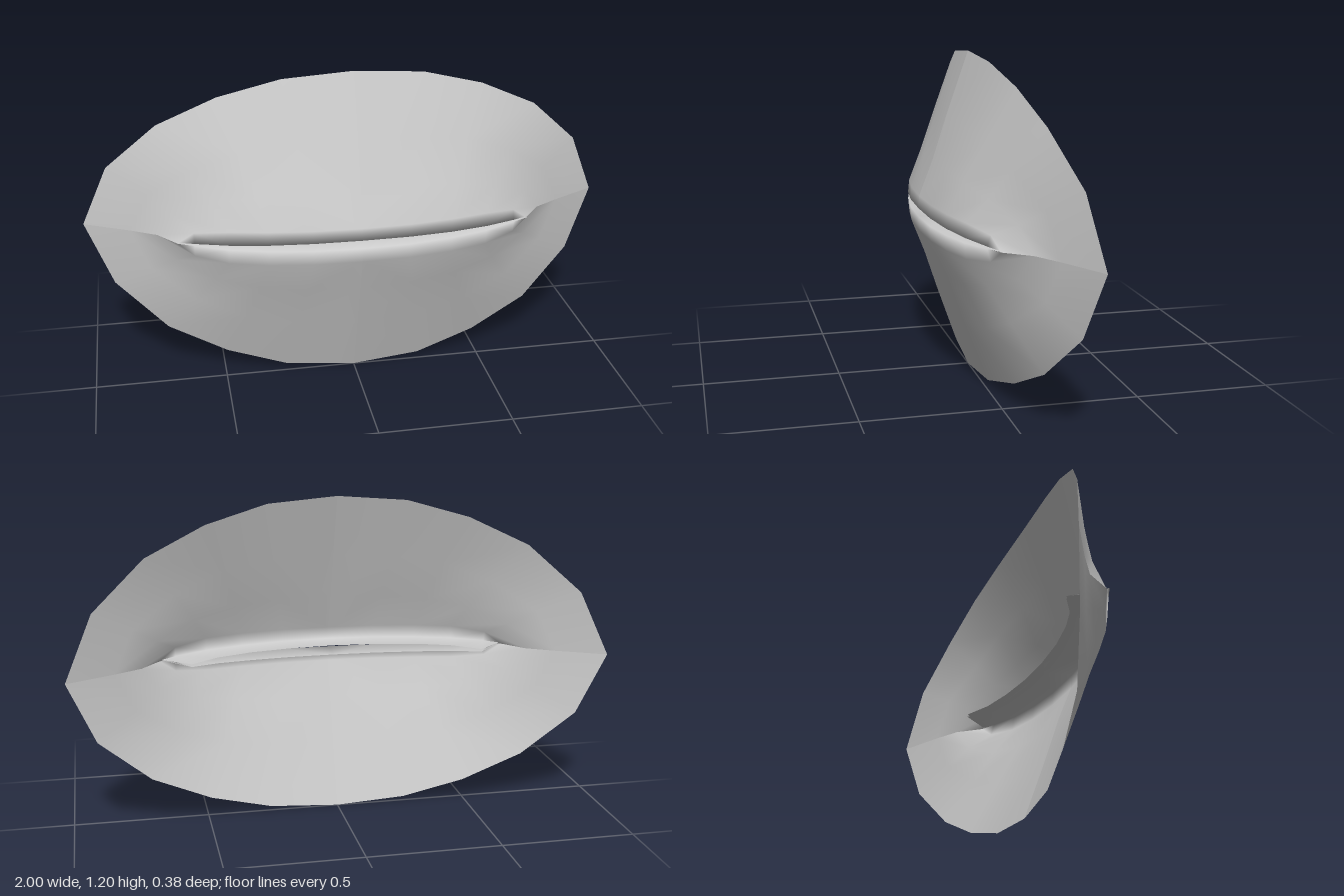
import * as THREE from 'three';

// Rings of one quarter, from the outer rim to the inner flap.
// Each runs from the middle (x = 0) to the corner: x, height from the slit, z.
const rings = [
  { // outer rim
    x: [0, 0.26, 0.49, 0.71, 0.9, 1],
    h: [0.6, 0.58, 0.515, 0.41, 0.235, 0],
    z: [0, -0.012, -0.045, -0.085, -0.15, -0.19],
  },
  { // outer slope
    x: [0, 0.22, 0.42, 0.6, 0.76, 0.83],
    h: [0.37, 0.36, 0.33, 0.26, 0.15, 0],
    z: [0.08, 0.07, 0.04, 0, -0.07, -0.1],
  },
  { // inner slope
    x: [0, 0.2, 0.37, 0.53, 0.67, 0.73],
    h: [0.2, 0.195, 0.18, 0.15, 0.09, 0],
    z: [0.135, 0.127, 0.105, 0.06, -0.005, -0.04],
  },
  { // front of the lip
    x: [0, 0.18, 0.34, 0.48, 0.6, 0.66],
    h: [0.066, 0.066, 0.065, 0.062, 0.045, 0],
    z: [0.187, 0.18, 0.158, 0.122, 0.07, 0.05],
  },
  { // edge of the slit
    x: [0, 0.18, 0.34, 0.48, 0.6, 0.66],
    h: [0.016, 0.015, 0.012, 0.009, 0.004, 0],
    z: [0.19, 0.184, 0.163, 0.13, 0.082, 0.06],
  },
  { // back edge of the flap
    x: [0, 0.17, 0.32, 0.45, 0.55, 0.63],
    h: [0.018, 0.017, 0.015, 0.011, 0.005, 0],
    z: [0.07, 0.062, 0.04, 0.005, -0.05, 0.06],
  },
];

// One quarter of the shell; sx and sy mirror it.
function quarter(sx, sy) {
  const positions = [];
  const indices = [];
  const n = rings[0].x.length;
  rings.forEach(({ x, h, z }, r) => {
    const lift = r > 3 ? 0.004 : 0; // the slit sits a touch above the middle
    for (let i = 0; i < n; i++) {
      positions.push(sx * x[i], 0.6 + sy * h[i] + lift, z[i]);
      if (r === 0 || i === n - 1) continue;
      const a = (r - 1) * n + i, b = a + 1, c = a + n, d = c + 1;
      if (sx * sy > 0) indices.push(a, c, b, b, c, d);
      else indices.push(a, b, c, b, d, c);
    }
  });
  const geometry = new THREE.BufferGeometry();
  geometry.setAttribute('position', new THREE.Float32BufferAttribute(positions, 3));
  geometry.setIndex(indices);
  geometry.computeVertexNormals();
  return geometry;
}

export function createModel() {
  const model = new THREE.Group();
  model.name = 'slittedShell';
  const material = new THREE.MeshStandardMaterial({ color: 0xcccccc, side: THREE.DoubleSide });
  for (const sy of [1, -1]) {
    const lid = new THREE.Group();
    lid.name = sy > 0 ? 'upperLid' : 'lowerLid';
    for (const sx of [1, -1]) {
      const half = new THREE.Mesh(quarter(sx, sy), material);
      half.name = lid.name + (sx > 0 ? 'Left' : 'Right');
      lid.add(half);
    }
    model.add(lid);
  }
  return model;
}
